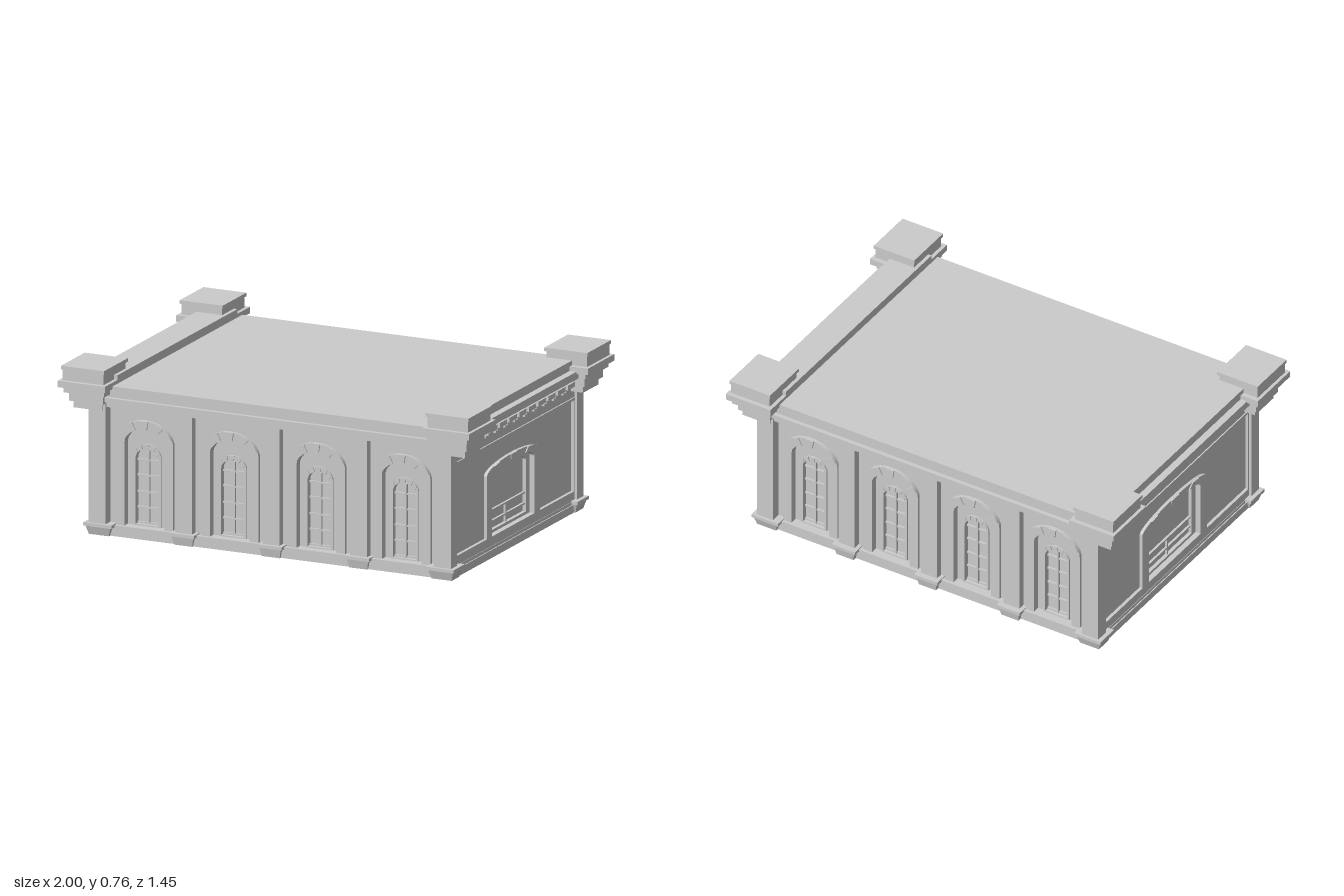
import * as THREE from 'three';

const mat = new THREE.MeshStandardMaterial({ color: 0xcccccc, flatShading: true });

function add(parent, name, geo) {
  const m = new THREE.Mesh(geo, mat);
  m.name = name;
  parent.add(m);
  return m;
}

// Box given by its limits
function block(parent, name, x0, x1, y0, y1, z0, z1) {
  const g = new THREE.BoxGeometry(x1 - x0, y1 - y0, z1 - z0);
  return add(parent, name, g.translate((x0 + x1) / 2, (y0 + y1) / 2, (z0 + z1) / 2));
}

// Block whose foot is drawn in by an inset
function flare(parent, name, x0, x1, y0, y1, z0, z1, inset) {
  const m = block(parent, name, x0, x1, y0, y1, z0, z1);
  const p = m.geometry.attributes.position;
  for (let i = 0; i < p.count; i++) {
    if (p.getY(i) > (y0 + y1) / 2) continue;
    p.setX(i, p.getX(i) + (p.getX(i) > (x0 + x1) / 2 ? -inset : inset));
    p.setZ(i, p.getZ(i) + (p.getZ(i) > (z0 + z1) / 2 ? -inset : inset));
  }
  m.geometry.computeVertexNormals();
}

// Plate extruded between two depths
function plate(parent, name, shape, z0, z1) {
  const g = new THREE.ExtrudeGeometry(shape, { depth: z1 - z0, bevelEnabled: false, curveSegments: 16 });
  return add(parent, name, g.translate(0, 0, z0));
}

// Arched outline: a = { cx, hw, y0, spring, rise }
function arch(a, Type = THREE.Shape) {
  const s = new Type();
  s.moveTo(a.cx - a.hw, a.y0);
  s.lineTo(a.cx + a.hw, a.y0);
  s.lineTo(a.cx + a.hw, a.spring);
  s.absellipse(a.cx, a.spring, a.hw, a.rise, 0, Math.PI, false, 0);
  s.lineTo(a.cx - a.hw, a.y0);
  return s;
}

function rect(x0, x1, y0, y1, Type = THREE.Shape) {
  const s = new Type();
  s.moveTo(x0, y0); s.lineTo(x1, y0); s.lineTo(x1, y1); s.lineTo(x0, y1); s.lineTo(x0, y0);
  return s;
}

function archRing(parent, name, outer, inner, z0, z1) {
  const s = arch(outer);
  s.holes.push(arch(inner, THREE.Path));
  plate(parent, name, s, z0, z1);
}

// Raised stones spread along an arch
function voussoirs(parent, outer, inner, angles, half, z0, z1) {
  const at = (a, t) => new THREE.Vector2(a.cx + a.hw * Math.cos(t), a.spring + a.rise * Math.sin(t));
  for (const deg of angles) {
    const t0 = THREE.MathUtils.degToRad(deg - half), t1 = THREE.MathUtils.degToRad(deg + half);
    const tm = (t0 + t1) / 2;
    plate(parent, 'archStone', new THREE.Shape([
      at(inner, t0), at(outer, t0), at(outer, tm), at(outer, t1), at(inner, t1), at(inner, tm),
    ]), z0, z1);
  }
}

// Long wall with four arched windows, facing +z
function windowFacade(baseZ) {
  const f = new THREE.Group();
  for (const cx of [-0.625, -0.21, 0.21, 0.625]) {
    const bay = new THREE.Group();
    bay.name = 'windowBay';
    f.add(bay);
    const outer = { cx, hw: 0.14, y0: 0.04, spring: 0.43, rise: 0.105 };
    const inner = { cx, hw: 0.097, y0: 0.045, spring: 0.42, rise: 0.077 };
    const frame = { cx, hw: 0.067, y0: 0.05, spring: 0.365, rise: 0.057 };
    const glass = { cx, hw: 0.056, y0: 0.056, spring: 0.355, rise: 0.045 };
    const wall = rect(cx - 0.21, cx + 0.21, 0.03, 0.6);
    wall.holes.push(arch(inner, THREE.Path));
    plate(bay, 'bayWall', wall, 0.57, 0.615);
    archRing(bay, 'archSurround', outer, inner, 0.61, 0.63);
    voussoirs(bay, outer, inner, [25, 57, 90, 123, 155], 8, 0.62, 0.637);
    archRing(bay, 'niche', inner, frame, 0.57, 0.595);
    archRing(bay, 'windowFrame', frame, glass, 0.57, 0.602);
    voussoirs(bay, frame, glass, [30, 60, 90, 120, 150], 7, 0.595, 0.606);
    block(bay, 'windowPost', cx - 0.004, cx + 0.004, 0.05, 0.39, 0.57, 0.588);
    for (const y of [0.06, 0.13, 0.2, 0.275, 0.345])
      block(bay, 'windowBar', cx - 0.06, cx + 0.06, y - 0.004, y + 0.004, 0.57, 0.585);
  }
  for (const x of [-0.425, 0, 0.425]) {
    block(f, 'pilaster', x - 0.041, x + 0.041, 0.03, 0.6, 0.57, 0.65);
    flare(f, 'pilasterFoot', x - 0.052, x + 0.052, 0, 0.04, 0.56, baseZ - 0.006, 0.008);
    block(f, 'pilasterFootCap', x - 0.06, x + 0.06, 0.04, 0.055, 0.56, baseZ);
  }
  block(f, 'lowerCornice', -0.81, 0.81, 0.585, 0.61, 0.55, 0.655);
  block(f, 'corniceLedge', -0.82, 0.82, 0.61, 0.63, 0.55, 0.67);
  return f;
}

// Short wall with one wide window, facing +z
function sideFacade(dentils) {
  const f = new THREE.Group();
  const cx = -0.013;
  const outer = { cx, hw: 0.265, y0: 0.085, spring: 0.375, rise: 0.045 };
  const inner = { cx, hw: 0.213, y0: 0.092, spring: 0.352, rise: 0.046 };
  const border = rect(-0.62, 0.62, 0.03, 0.58);
  border.holes.push(rect(-0.592, 0.592, 0.092, 0.508, THREE.Path));
  plate(f, 'panelBorder', border, 0.83, 0.868);
  const panel = rect(-0.6, 0.6, 0.08, 0.515);
  panel.holes.push(arch(inner, THREE.Path));
  plate(f, 'wallPanel', panel, 0.82, 0.853);
  archRing(f, 'wideArchSurround', outer, inner, 0.84, 0.868);
  voussoirs(f, outer, inner, [50, 90, 130], 7, 0.86, 0.873);
  archRing(f, 'wideWindowFrame', inner,
    { cx, hw: 0.18, y0: 0.105, spring: 0.34, rise: 0.04 }, 0.82, 0.842);
  for (const y of [0.14, 0.19])
    block(f, 'wideWindowBar', cx - 0.18, cx + 0.18, y - 0.004, y + 0.004, 0.82, 0.836);
  block(f, 'wideWindowPost', -0.024, -0.016, 0.1, 0.19, 0.82, 0.836);
  block(f, 'panelMoulding', -0.592, 0.592, 0.508, 0.52, 0.85, 0.874);
  block(f, 'sidePlinth', -0.62, 0.62, 0, 0.036, 0.8, 0.875);
  // Stepped cornice and parapet
  block(f, 'corniceFoot', -0.6, 0.6, 0.572, 0.605, 0.77, 0.89);
  block(f, 'corniceBand', -0.6, 0.6, 0.605, 0.642, 0.77, 0.915);
  block(f, 'corniceTop', -0.6, 0.6, 0.642, 0.677, 0.77, 0.945);
  block(f, 'parapet', -0.6, 0.6, 0.677, 0.718, 0.77, 0.912);
  for (let i = -4; dentils && i <= 4; i++) {
    const x = i * 0.097;
    block(f, 'dentilTop', x - 0.036, x + 0.036, 0.62, 0.642, 0.88, 0.955);
    block(f, 'dentilMiddle', x - 0.025, x + 0.025, 0.603, 0.62, 0.88, 0.94);
    block(f, 'dentilTip', x - 0.015, x + 0.015, 0.588, 0.603, 0.88, 0.925);
  }
  return f;
}

// Corner pier with foot and stepped capital; sx, sz choose the corner
function corner(parent, sx, sz) {
  const g = new THREE.Group();
  g.name = 'cornerPier';
  parent.add(g);
  const put = (fn, name, x0, x1, y0, y1, z0, z1, inset) =>
    fn(g, name, Math.min(sx * x0, sx * x1), Math.max(sx * x0, sx * x1), y0, y1,
      Math.min(sz * z0, sz * z1), Math.max(sz * z0, sz * z1), inset);
  put(block, 'shaft', 0.797, 0.88, 0.03, 0.6, 0.6, 0.663);
  put(flare, 'foot', 0.772, 0.893, 0, 0.04, 0.57, 0.67, 0.012);
  put(block, 'footCap', 0.763, 0.9, 0.04, 0.055, 0.563, 0.676);
  const layers = [
    [0.81, 0.95, 0.568, 0.6, 0.517, 0.668],
    [0.8, 0.965, 0.6, 0.642, 0.5, 0.683],
    [0.783, 0.98, 0.642, 0.668, 0.48, 0.707],
    [0.77, 1, 0.668, 0.697, 0.46, 0.727],
    [0.787, 0.985, 0.697, 0.747, 0.483, 0.706],
    [0.781, 0.99, 0.747, 0.763, 0.475, 0.713],
  ];
  for (const l of layers) put(block, 'capitalLayer', ...l);
}

export function createModel() {
  const model = new THREE.Group();
  model.name = 'building';

  block(model, 'core', -0.825, 0.825, 0.02, 0.62, -0.575, 0.575);
  block(model, 'floorSlab', -0.87, 0.87, 0, 0.05, -0.645, 0.645);
  block(model, 'roof', -0.8, 0.8, 0.6, 0.68, -0.65, 0.65);

  const front = windowFacade(0.668);
  front.name = 'frontFacade';
  const back = windowFacade(0.678);
  back.name = 'backFacade';
  back.rotation.y = Math.PI;
  const left = sideFacade(true);
  left.name = 'leftFacade';
  left.rotation.y = Math.PI / 2;
  const right = sideFacade(false);
  right.name = 'rightFacade';
  right.rotation.y = -Math.PI / 2;
  model.add(front, back, left, right);

  for (const sx of [-1, 1]) for (const sz of [-1, 1]) corner(model, sx, sz);
  return model;
}
